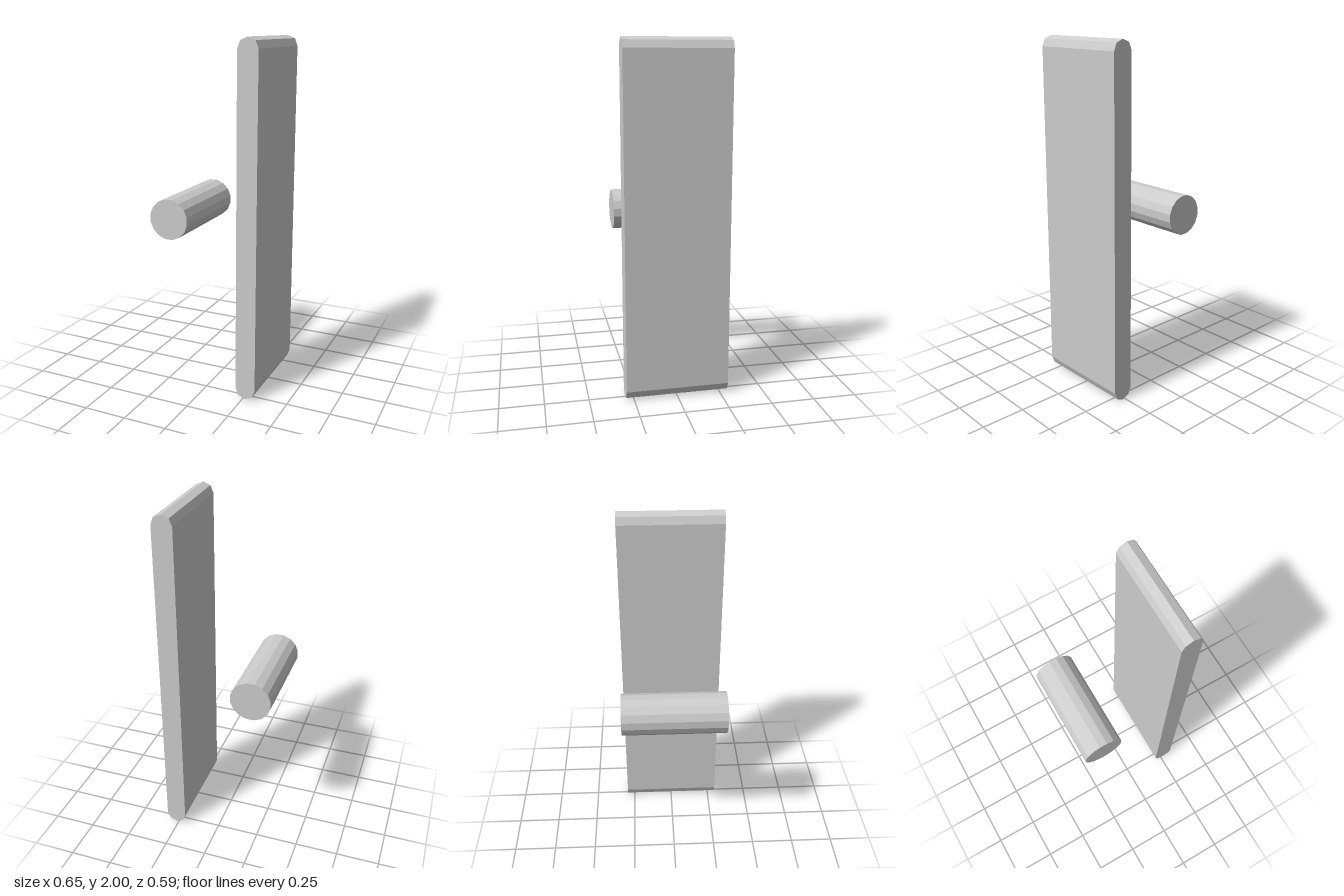
import * as THREE from 'three';

const DEPTH = 0.59;

export function createModel() {
  const group = new THREE.Group();
  const grey = new THREE.MeshStandardMaterial({ color: 0xcccccc, flatShading: true });
  grey.name = 'light grey';

  // upright slab with half-octagon ends
  const r = 0.0585;
  const outline = [];
  for (let i = 0; i <= 4; i++) {
    const a = (i * Math.PI) / 4;
    outline.push(new THREE.Vector2(r * Math.cos(a), 2 - r + r * Math.sin(a)));
  }
  for (let i = 4; i <= 8; i++) {
    const a = (i * Math.PI) / 4;
    outline.push(new THREE.Vector2(r * Math.cos(a), r + r * Math.sin(a)));
  }
  const slabGeometry = new THREE.ExtrudeGeometry(new THREE.Shape(outline), {
    depth: DEPTH, bevelEnabled: false,
  });
  const slab = new THREE.Mesh(slabGeometry, grey);
  slab.name = 'uprightSlab';
  slab.position.set(0.264, 0, -DEPTH / 2);
  group.add(slab);

  // sixteen-sided rod beside the slab, flats facing the axes
  const rodRadius = 0.115 / Math.cos(Math.PI / 16);
  const rodGeometry = new THREE.CylinderGeometry(rodRadius, rodRadius, DEPTH, 16);
  rodGeometry.rotateY(Math.PI / 16).rotateX(Math.PI / 2);
  const rod = new THREE.Mesh(rodGeometry, grey);
  rod.name = 'rod';
  rod.position.set(-0.208, 1.002, 0);
  group.add(rod);

  return group;
}
